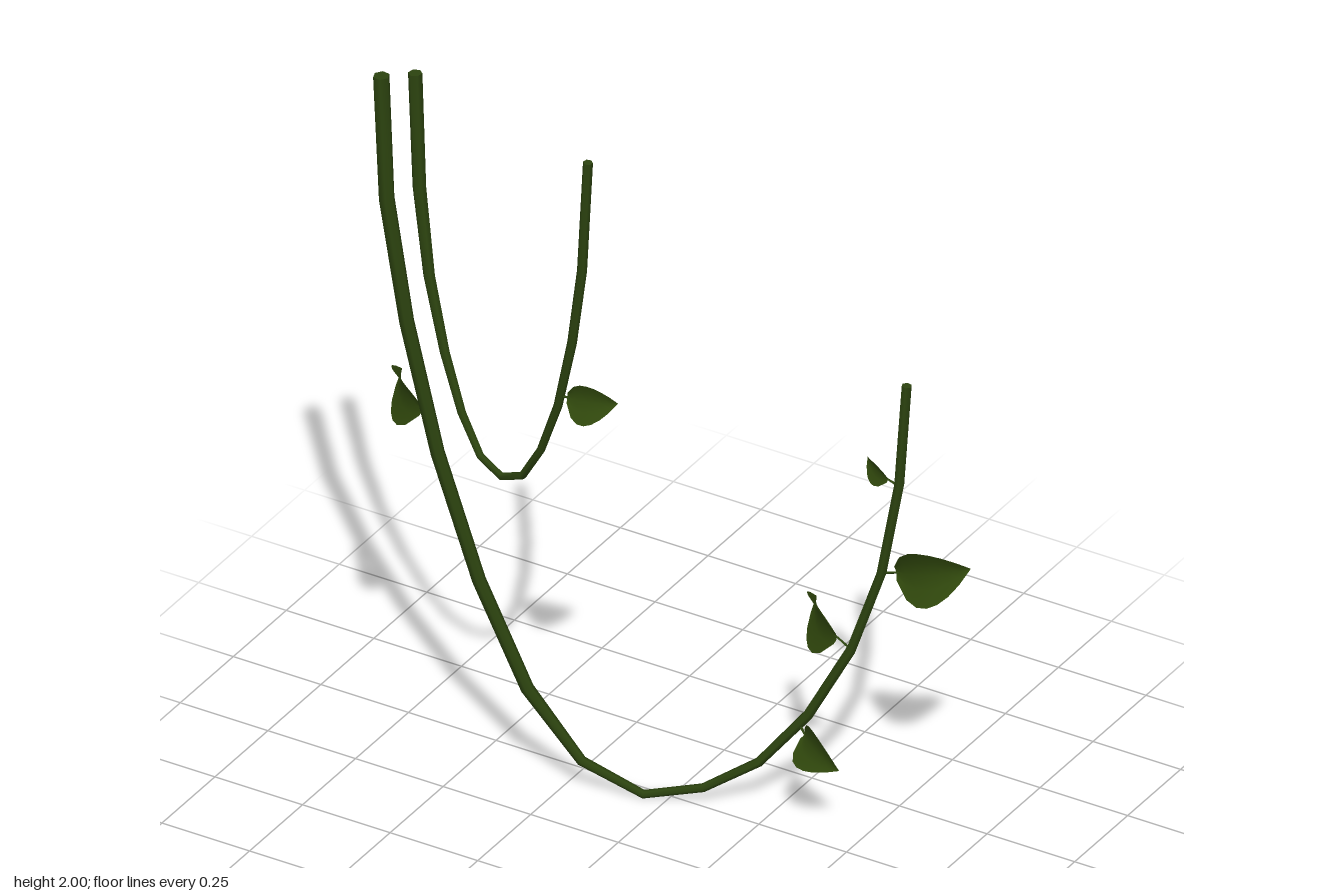
import * as THREE from 'three';
import { toCreasedNormals } from 'three/addons/utils/BufferGeometryUtils.js';

const vineMaterial = new THREE.MeshStandardMaterial({ color: 0x2c430f });
vineMaterial.name = 'vine green';
const leafMaterial = new THREE.MeshStandardMaterial({ color: 0x2f460c, side: THREE.DoubleSide });
leafMaterial.name = 'leaf green';

const V = (p) => new THREE.Vector3(...p);

function buildGeometry(positions, index) {
  const g = new THREE.BufferGeometry();
  g.setAttribute('position', new THREE.Float32BufferAttribute(positions, 3));
  g.setIndex(index);
  return g;
}

// Capped tube with its own radius at each path point; ref steadies the rings.
function taperedTube(points, radii, ref, sides) {
  const pos = [], idx = [];
  const last = points.length - 1;
  points.forEach((p, i) => {
    const t = points[Math.min(i + 1, last)].clone().sub(points[Math.max(i - 1, 0)]).normalize();
    const n = ref.clone().addScaledVector(t, -ref.dot(t)).normalize();
    const b = t.clone().cross(n);
    for (let j = 0; j < sides; j++) {
      const a = (j / sides) * Math.PI * 2;
      const v = p.clone().addScaledVector(n, radii[i] * Math.cos(a)).addScaledVector(b, radii[i] * Math.sin(a));
      pos.push(v.x, v.y, v.z);
    }
  });
  for (let i = 0; i < last; i++) {
    for (let j = 0; j < sides; j++) {
      const k = (j + 1) % sides;
      const a = i * sides + j, b = i * sides + k;
      idx.push(a, b, a + sides, b, b + sides, a + sides);
    }
  }
  for (let j = 1; j < sides - 1; j++) {
    const e = last * sides;
    idx.push(0, j + 1, j, e, e + j, e + j + 1);
  }
  return toCreasedNormals(buildGeometry(pos, idx), 1.2);
}

// Leaf blade swept along a bent midrib; its side edges fold towards the outer bend.
function leafBlade(base, mid, tip, halfWidth, tilt) {
  const outline = [0.25, 0.78, 0.98, 1, 0.9, 0.7, 0.4, 0];
  const across = [-1, -0.5, 0, 0.5, 1];
  const chord = tip.clone().sub(base).normalize();
  const outward = mid.clone().sub(base.clone().add(tip).multiplyScalar(0.5));
  const control = mid.clone().add(outward);
  const rib = new THREE.QuadraticBezierCurve3(base, control, tip);
  outward.normalize();
  const widthDir = new THREE.Vector3(0, 1, 0).add(tilt);
  widthDir.addScaledVector(chord, -widthDir.dot(chord)).normalize();
  const pos = [], idx = [];
  const rows = outline.length, cols = across.length;
  outline.forEach((w, i) => {
    const p = rib.getPoint(i / (rows - 1));
    across.forEach((s) => {
      const q = p.clone().addScaledVector(widthDir, s * w * halfWidth)
        .addScaledVector(outward, s * s * w * halfWidth * 0.45);
      pos.push(q.x, q.y, q.z);
    });
  });
  for (let i = 0; i < rows - 1; i++) {
    for (let j = 0; j < cols - 1; j++) {
      const a = i * cols + j;
      idx.push(a, a + 1, a + cols, a + 1, a + cols + 1, a + cols);
    }
  }
  const g = buildGeometry(pos, idx);
  g.computeVertexNormals();
  return g;
}

// Vine paths: x, y, z, radius
const vines = {
  mainVine: [
    [-0.668, 2.0, 0.264, 0.021], [-0.655, 1.65, 0.26, 0.02], [-0.61, 1.3, 0.24, 0.019],
    [-0.54, 0.93, 0.21, 0.018], [-0.44, 0.58, 0.18, 0.0175], [-0.325, 0.285, 0.142, 0.017],
    [-0.2, 0.09, 0.092, 0.013], [-0.055, 0.013, 0.04, 0.011], [0.085, 0.05, -0.01, 0.011],
    [0.215, 0.14, -0.058, 0.012], [0.33, 0.29, -0.1, 0.0135], [0.43, 0.49, -0.138, 0.0135],
    [0.502, 0.72, -0.162, 0.013], [0.543, 0.98, -0.178, 0.013], [0.56, 1.265, -0.185, 0.013],
  ],
  sideVine: [
    [-0.637, 1.96, 0.155, 0.018], [-0.622, 1.64, 0.16, 0.017], [-0.59, 1.4, 0.167, 0.0145],
    [-0.54, 1.2, 0.176, 0.0125], [-0.485, 1.05, 0.187, 0.011], [-0.425, 0.95, 0.198, 0.01],
    [-0.358, 0.919, 0.21, 0.01], [-0.29, 0.95, 0.223, 0.01], [-0.23, 1.05, 0.235, 0.01],
    [-0.175, 1.2, 0.245, 0.011], [-0.13, 1.4, 0.253, 0.012], [-0.098, 1.62, 0.259, 0.0125],
    [-0.078, 1.94, 0.264, 0.0125],
  ],
};

// Leaves: stem root, blade base, mid, tip, half width, width tilt
const leaves = [
  { root: [-0.56, 1.025, 0.218], base: [-0.588, 1.035, 0.202], mid: [-0.67, 1.038, 0.155], tip: [-0.724, 1.04, 0.073], w: 0.073, tilt: [0, 0, 0] },
  { root: [-0.168, 1.23, 0.246], base: [-0.145, 1.237, 0.25], mid: [-0.08, 1.238, 0.247], tip: [-0.025, 1.235, 0.21], w: 0.05, tilt: [0, 0, -0.35] },
  { root: [0.502, 0.72, -0.162], base: [0.545, 0.738, -0.16], mid: [0.641, 0.757, -0.164], tip: [0.722, 0.772, -0.22], w: 0.074, tilt: [0, 0, -0.1] },
  { root: [0.43, 0.49, -0.138], base: [0.382, 0.503, -0.15], mid: [0.302, 0.507, -0.203], tip: [0.245, 0.51, -0.28], w: 0.076, tilt: [0, 0, 0] },
  { root: [0.31, 0.26, -0.093], base: [0.335, 0.25, -0.075], mid: [0.392, 0.238, -0.033], tip: [0.467, 0.215, -0.02], w: 0.056, tilt: [0, 0, -0.3] },
  { root: [0.54, 0.975, -0.178], base: [0.515, 0.987, -0.172], mid: [0.473, 0.998, -0.183], tip: [0.436, 1.01, -0.206], w: 0.034, tilt: [0, 0, 0] },
];

export function createModel() {
  const model = new THREE.Group();
  model.name = 'hangingVines';

  for (const [name, path] of Object.entries(vines)) {
    const points = path.map(([x, y, z]) => new THREE.Vector3(x, y, z));
    // Each vine hangs in one upright plane; its normal orients the rings.
    const span = points[points.length - 1].clone().sub(points[0]);
    const ref = new THREE.Vector3(-span.z, 0, span.x).normalize();
    const mesh = new THREE.Mesh(taperedTube(points, path.map((p) => p[3]), ref, 6), vineMaterial);
    mesh.name = name;
    model.add(mesh);
  }

  leaves.forEach((l, i) => {
    const leaf = new THREE.Group();
    leaf.name = `leaf${i + 1}`;
    const base = V(l.base), mid = V(l.mid);
    const stemEnd = base.clone().lerp(mid, 0.1);
    const stem = new THREE.Mesh(
      taperedTube([V(l.root), stemEnd], [0.004, 0.003], new THREE.Vector3(0, 1, 0), 4), vineMaterial);
    stem.name = 'leafStem';
    const blade = new THREE.Mesh(leafBlade(base, mid, V(l.tip), l.w, V(l.tilt)), leafMaterial);
    blade.name = 'leafBlade';
    leaf.add(stem, blade);
    model.add(leaf);
  });

  return model;
}
